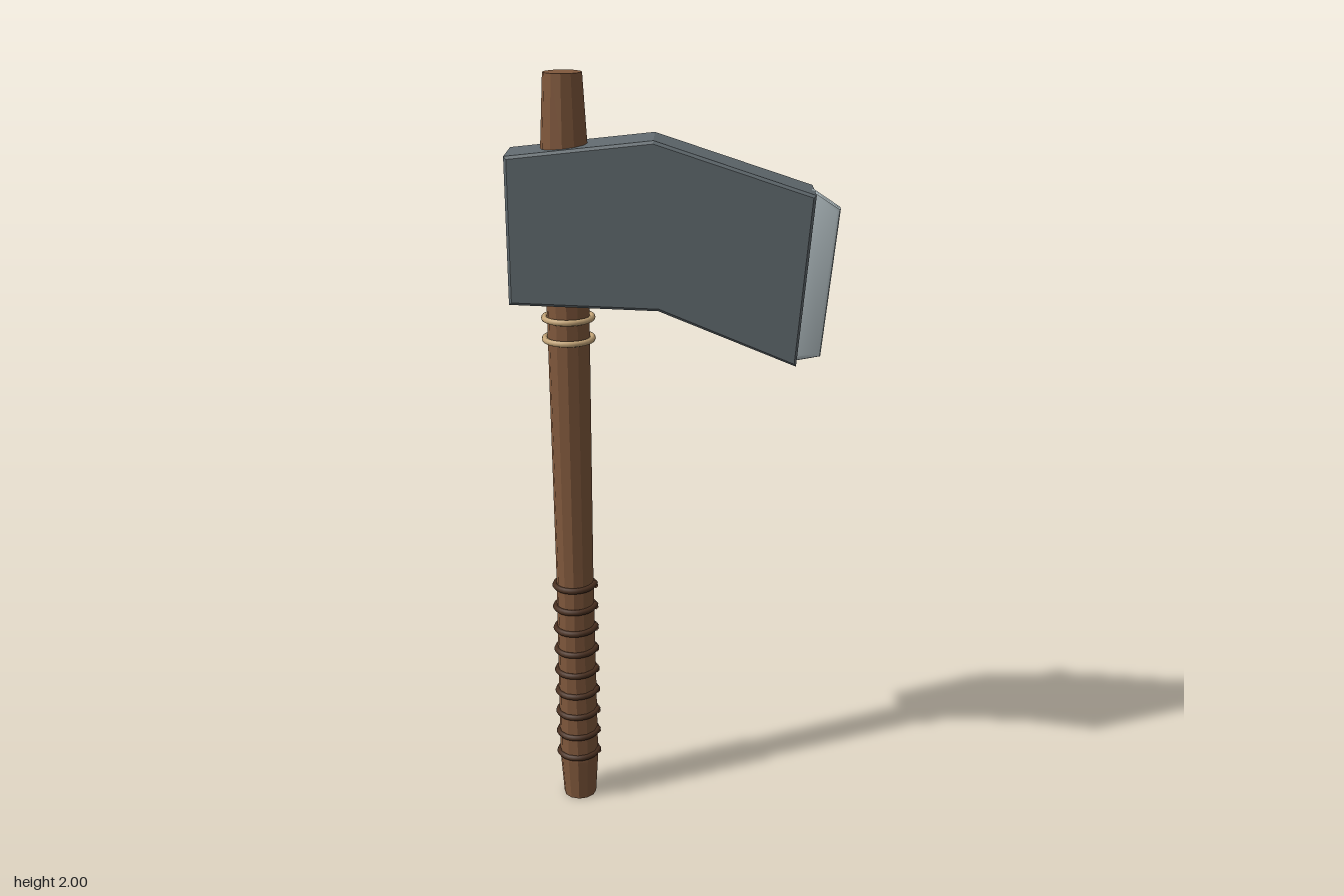
import * as THREE from 'three';
import { toCreasedNormals } from 'three/addons/utils/BufferGeometryUtils.js';

const HANDLE_X = -0.27;

function mesh(name, geometry, color, flatShading = false) {
  const m = new THREE.Mesh(geometry, new THREE.MeshStandardMaterial({ color, flatShading }));
  m.name = name;
  return m;
}

// Bevelled slab from an outline, centred on z = 0, with the bevel kept inside the outline
function slab(points, depth, bevel, segments) {
  const shape = new THREE.Shape(points.map(([x, y]) => new THREE.Vector2(x, y)));
  return new THREE.ExtrudeGeometry(shape, {
    depth: depth - 2 * bevel, bevelEnabled: true, bevelSize: bevel, bevelThickness: bevel,
    bevelOffset: -bevel, bevelSegments: segments,
  }).translate(0, 0, bevel - depth / 2);
}

// One turn of cord that starts and ends on the +x side, slightly offset in height
class CordTurn extends THREE.Curve {
  getPoint(t, target = new THREE.Vector3()) {
    const a = t * Math.PI * 2;
    return target.set(0.054 * Math.cos(a), 0.005 - 0.01 * t, 0.054 * Math.sin(a));
  }
}

export function createModel() {
  const model = new THREE.Group();

  // Tapered wooden handle
  const profile = [[0, 0], [0.045, 0], [0.053, 0.12], [0.05, 0.7], [0.054, 1.4],
    [0.058, 1.82], [0.048, 2], [0, 2]].map(([r, y]) => new THREE.Vector2(r, y));
  const handle = mesh('handle', new THREE.LatheGeometry(profile, 12), 0x80583c, true);
  handle.position.x = HANDLE_X;
  model.add(handle);

  // Bent axe head
  const headOutline = [[-0.41, 1.445], [-0.04, 1.43], [0.305, 1.288], [0.343, 1.718],
    [-0.05, 1.848], [-0.41, 1.81]];
  model.add(mesh('head', slab(headOutline, 0.158, 0.007, 1), 0x626b70, true));

  // Bright cutting edge set into the end of the head
  const edgeOutline = [[0.28, 1.292], [0.31, 1.287], [0.37, 1.298], [0.408, 1.675],
    [0.34, 1.72], [0.30, 1.72]];
  const edge = toCreasedNormals(slab(edgeOutline, 0.046, 0.01, 2), 0.7);
  model.add(mesh('cuttingEdge', edge, 0xb6c2c6));

  // Pale binding rings under the head
  for (const y of [1.34, 1.395]) {
    const ring = mesh('bindingRing', new THREE.TorusGeometry(0.061, 0.008, 8, 28), 0xc4a578);
    ring.rotation.x = Math.PI / 2;
    ring.position.set(HANDLE_X, y, 0);
    model.add(ring);
  }

  // Dark cord wraps on the grip
  const grip = new THREE.Group();
  grip.name = 'gripWraps';
  const cord = new THREE.TubeGeometry(new CordTurn(), 28, 0.008, 6, false);
  for (let i = 0; i < 9; i++) {
    const wrap = mesh('gripWrap', cord, 0x4a3020);
    wrap.material.side = THREE.DoubleSide;
    wrap.position.set(HANDLE_X, 0.135 + i * 0.0644, 0);
    grip.add(wrap);
  }
  model.add(grip);

  return model;
}
